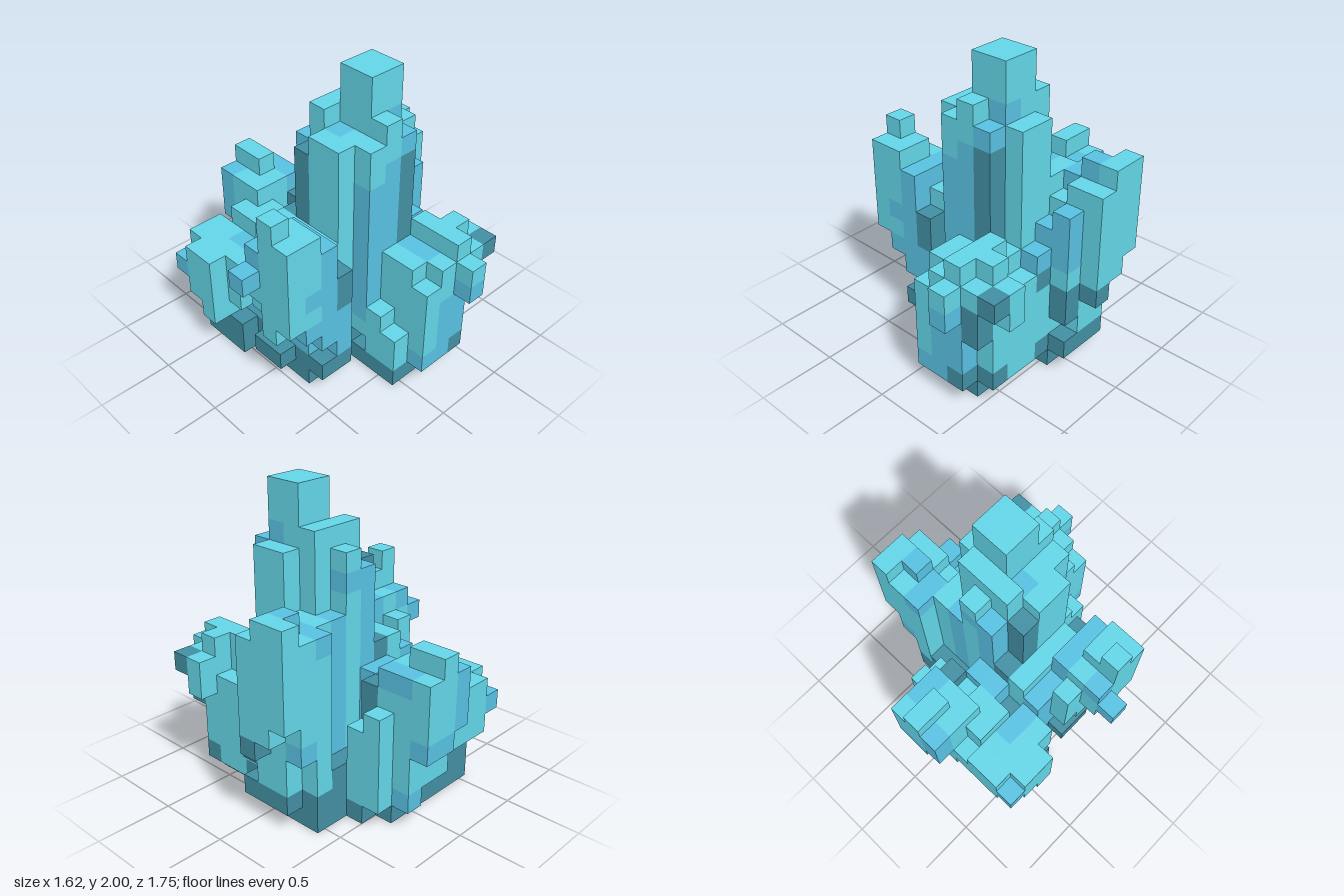
import * as THREE from 'three';

const U = 0.125, NX = 13, NY = 16, NZ = 14;
const L = 0, M = 1, D = 2; // light, mid, dark

// Each part is a list of blocks on the cube grid, inclusive:
// [x0, x1, y0, y1, z0, z1, colour]; later blocks repaint earlier ones.
const PARTS = {
  base: [
    [3, 9, 0, 0, 4, 8, D], [2, 8, 0, 0, 3, 4, D], [2, 7, 0, 0, 2, 2, D],
    [6, 9, 0, 0, 9, 11, D], [10, 10, 0, 0, 4, 7, D],
    [3, 10, 1, 1, 4, 8, D], [2, 2, 1, 1, 6, 7, D], [2, 2, 1, 1, 4, 4, D],
    [11, 11, 1, 1, 5, 7, D], [3, 4, 1, 1, 9, 9, D],
  ],
  centreCrystal: [
    [5, 9, 2, 12, 7, 8, L], [5, 5, 2, 2, 8, 8, D], [6, 6, 12, 12, 7, 7, M],
    [6, 8, 2, 13, 6, 6, L],
    [9, 9, 2, 9, 5, 6, L], [5, 5, 2, 11, 6, 6, D], [5, 5, 2, 7, 5, 5, D],
    [6, 6, 2, 11, 5, 5, M], [7, 7, 2, 12, 5, 5, L], [7, 7, 11, 11, 5, 5, M],
    [8, 8, 2, 9, 5, 5, M], [5, 6, 2, 6, 4, 4, M], [7, 9, 2, 2, 4, 4, D],
    [7, 8, 13, 15, 7, 8, L], [8, 8, 13, 13, 8, 8, M],
    [6, 6, 2, 12, 9, 9, L], [6, 6, 3, 10, 9, 9, M],
    [7, 7, 2, 13, 9, 9, L], [7, 7, 7, 11, 9, 9, M],
    [8, 8, 2, 11, 9, 9, D], [8, 8, 12, 12, 9, 9, M],
  ],
  leftFrontCrystal: [
    [3, 4, 2, 7, 7, 8, L], [1, 1, 4, 9, 8, 8, L], [1, 1, 5, 9, 9, 9, L],
    [2, 2, 4, 9, 8, 9, L], [2, 2, 4, 4, 9, 9, M],
    [2, 2, 6, 6, 9, 9, M], [2, 2, 3, 8, 7, 7, L], [3, 3, 2, 8, 7, 8, M],
    [3, 3, 3, 8, 9, 9, M], [4, 4, 2, 4, 9, 9, M], [4, 4, 5, 6, 9, 9, D],
    [1, 1, 10, 10, 8, 8, L], [1, 1, 6, 7, 7, 7, L], [1, 1, 8, 8, 7, 7, M],
    [0, 0, 7, 7, 7, 7, M], [4, 4, 2, 7, 5, 6, L], [3, 3, 2, 6, 5, 6, M],
    [2, 2, 4, 7, 6, 6, L],
  ],
  rightBackCrystal: [
    [10, 10, 2, 8, 4, 6, L], [10, 10, 9, 9, 4, 5, M],
    [11, 11, 2, 8, 5, 6, L], [11, 11, 5, 9, 4, 4, L], [11, 11, 4, 4, 4, 4, M],
    [11, 11, 9, 10, 5, 5, M], [11, 11, 9, 9, 6, 6, L],
    [12, 12, 6, 10, 4, 4, L], [12, 12, 5, 10, 5, 5, L],
    [12, 12, 5, 9, 6, 6, L], [12, 12, 4, 4, 6, 6, D],
    [10, 10, 2, 3, 7, 7, L], [10, 10, 4, 7, 7, 7, M],
    [11, 11, 3, 4, 7, 7, D], [11, 11, 5, 5, 7, 7, L], [11, 11, 6, 8, 7, 7, M],
    [10, 10, 2, 4, 8, 8, L], [10, 10, 5, 5, 8, 8, D], [10, 10, 6, 6, 8, 8, M],
  ],
  backCrystal: [
    [4, 7, 1, 5, 2, 3, L], [5, 7, 2, 5, 1, 1, L], [7, 7, 1, 1, 1, 1, M],
    [8, 8, 1, 4, 3, 3, L], [8, 8, 1, 5, 2, 2, L],
    [2, 3, 1, 1, 2, 3, D], [2, 3, 2, 5, 2, 3, L], [2, 3, 3, 5, 1, 1, L],
    [1, 1, 3, 5, 2, 2, L], [1, 1, 2, 5, 3, 3, L], [1, 1, 4, 4, 1, 1, M],
    [3, 3, 2, 5, 3, 3, M], [4, 4, 3, 4, 1, 1, L], [4, 5, 2, 6, 2, 3, L],
    [7, 7, 5, 6, 3, 3, D], [5, 6, 6, 7, 1, 2, L], [7, 7, 6, 6, 1, 2, L],
    [7, 7, 7, 7, 1, 2, M],
    [6, 6, 5, 8, 0, 1, L], [5, 5, 5, 7, 0, 0, M], [7, 7, 5, 7, 0, 0, L],
    [6, 7, 4, 4, 0, 0, M],
    [2, 2, 3, 5, 4, 4, L], [3, 3, 2, 5, 4, 4, M], [4, 4, 2, 4, 4, 4, D],
  ],
  frontCrystal: [
    [7, 9, 1, 6, 10, 11, L], [6, 6, 1, 3, 10, 10, L], [6, 6, 1, 2, 11, 11, L],
    [7, 7, 2, 5, 12, 12, L], [7, 7, 1, 1, 11, 12, M], [8, 8, 1, 6, 10, 12, M],
    [8, 8, 5, 6, 12, 12, L], [9, 9, 1, 1, 12, 12, D], [9, 9, 2, 4, 12, 12, M],
    [9, 9, 5, 7, 12, 12, L], [9, 9, 1, 6, 9, 9, L], [10, 10, 1, 5, 9, 10, L],
    [9, 9, 7, 7, 10, 11, L],
    [10, 10, 1, 1, 11, 11, D], [10, 10, 2, 7, 11, 11, L],
    [10, 10, 4, 5, 12, 12, D], [10, 10, 6, 6, 12, 12, L],
    [11, 11, 5, 6, 11, 11, L], [11, 11, 6, 6, 12, 12, D],
    [9, 9, 6, 6, 13, 13, L], [9, 9, 5, 5, 13, 13, M],
  ],
};
// Small openings in the underside
const HOLES = [[7, 8, 0, 0, 9, 9], [6, 6, 0, 0, 4, 4], [9, 9, 0, 0, 6, 6]];

// Face directions with two in-plane axes, so that a x b = normal
const FACES = [];
for (let n = 0; n < 3; n++) for (const s of [1, -1]) {
  const d = [0, 0, 0], a = [0, 0, 0], b = [0, 0, 0];
  d[n] = s;
  a[(n + 1) % 3] = 1;
  b[(n + 2) % 3] = 1;
  FACES.push(s > 0 ? { d, a, b } : { d, a: b, b: a });
}

const index = (x, y, z) => (x < 0 || y < 0 || z < 0 || x >= NX || y >= NY || z >= NZ) ? -1 : (y * NZ + z) * NX + x;

function eachCell([x0, x1, y0, y1, z0, z1], fn) {
  for (let y = y0; y <= y1; y++) for (let z = z0; z <= z1; z++) for (let x = x0; x <= x1; x++) fn(x, y, z);
}

// Surface of all cells of one part and colour, without hidden faces
function surface(cells, partName, colour) {
  const pos = [], nor = [];
  for (const { part, c, p } of cells.values()) {
    if (part !== partName || c !== colour) continue;
    for (const { d, a, b } of FACES) {
      if (cells.has(index(p[0] + d[0], p[1] + d[1], p[2] + d[2]))) continue;
      for (const [s, t] of [[0, 0], [1, 0], [1, 1], [0, 0], [1, 1], [0, 1]]) {
        const v = p.map((q, n) => q + Math.max(d[n], 0) + s * a[n] + t * b[n]);
        pos.push((v[0] - NX / 2) * U, v[1] * U, (v[2] - NZ / 2) * U);
        nor.push(...d);
      }
    }
  }
  if (!pos.length) return null;
  const g = new THREE.BufferGeometry();
  g.setAttribute('position', new THREE.Float32BufferAttribute(pos, 3));
  g.setAttribute('normal', new THREE.Float32BufferAttribute(nor, 3));
  return g;
}

export function createModel() {
  const model = new THREE.Group();
  model.name = 'crystalCluster';
  const materials = [['lightCrystal', 0x65daec], ['midCrystal', 0x58c1e2], ['darkCrystal', 0x428fa3]].map(([name, color]) => {
    const m = new THREE.MeshStandardMaterial({ color });
    m.name = name;
    return m;
  });

  // Fill the grid
  const cells = new Map();
  for (const [part, blocks] of Object.entries(PARTS)) {
    for (const block of blocks) eachCell(block, (x, y, z) => cells.set(index(x, y, z), { part, c: block[6], p: [x, y, z] }));
  }
  for (const hole of HOLES) eachCell(hole, (x, y, z) => cells.delete(index(x, y, z)));

  // One group per crystal, one mesh per colour
  for (const part of Object.keys(PARTS)) {
    const group = new THREE.Group();
    group.name = part;
    materials.forEach((material, colour) => {
      const geometry = surface(cells, part, colour);
      if (!geometry) return;
      const mesh = new THREE.Mesh(geometry, material);
      mesh.name = part + ' ' + material.name;
      group.add(mesh);
    });
    model.add(group);
  }
  return model;
}
